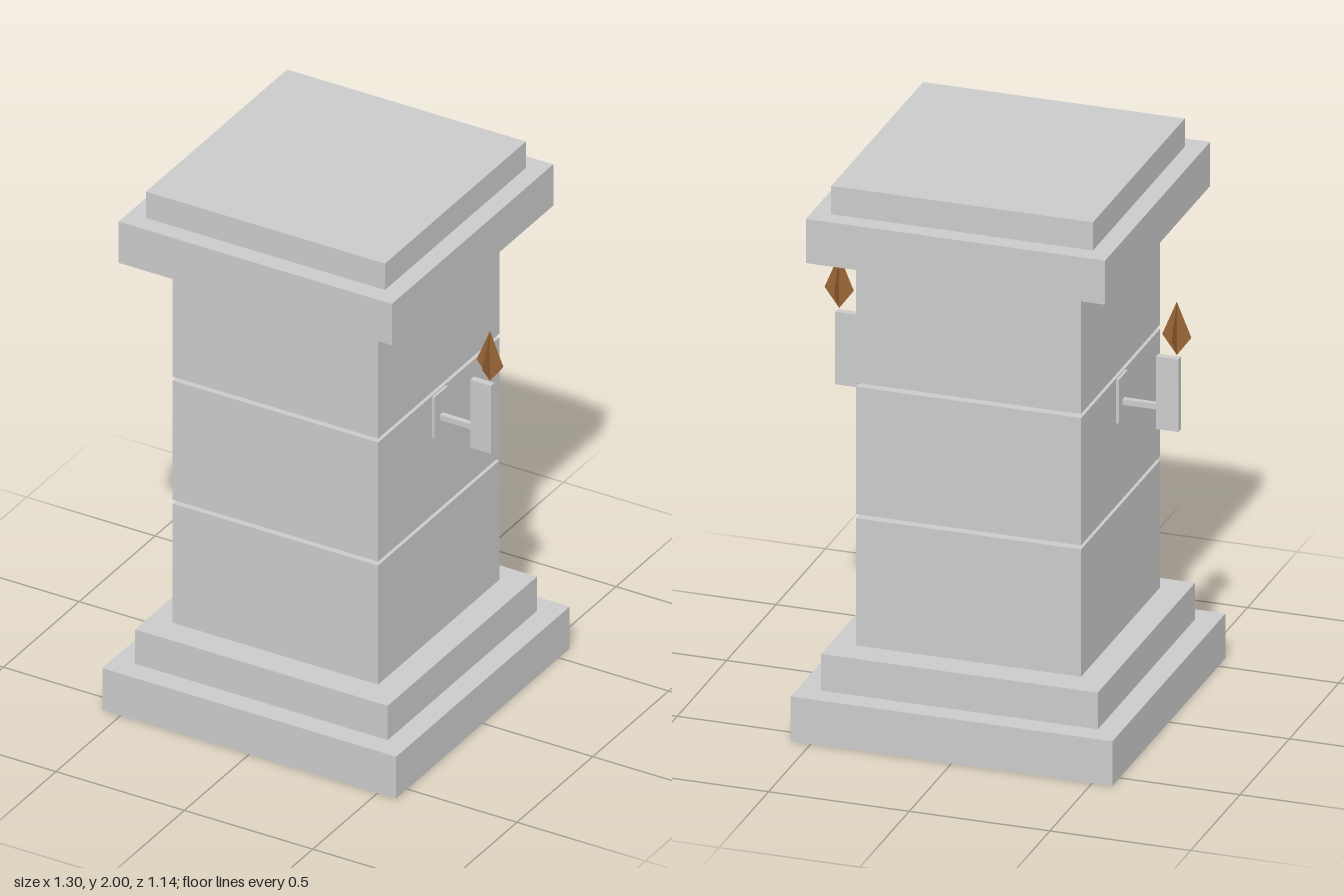
import * as THREE from 'three';

const stone = new THREE.MeshStandardMaterial({ color: 0xcccccc, flatShading: true });
const fire = new THREE.MeshStandardMaterial({ color: 0x9a6636, flatShading: true, side: THREE.DoubleSide });

// Box given by its size in x and z, its y range and its centre in x
function block(parent, name, w, d, y0, y1, x = 0) {
  const mesh = new THREE.Mesh(new THREE.BoxGeometry(w, y1 - y0, d), stone);
  mesh.position.set(x, (y0 + y1) / 2, 0);
  mesh.name = name;
  parent.add(mesh);
}

// Wall torch on the +x side: plate, arm, holder and two crossed flame sheets
function createTorch(name) {
  const torch = new THREE.Group();
  torch.name = name;
  block(torch, 'wallPlate', 0.02, 0.09, 1.085, 1.245, 0.4);
  block(torch, 'arm', 0.14, 0.02, 1.14, 1.16, 0.47);
  block(torch, 'holder', 0.08, 0.024, 1.07, 1.335, 0.57);

  const diamond = new THREE.Shape([
    new THREE.Vector2(0, 1.345),
    new THREE.Vector2(0.052, 1.415),
    new THREE.Vector2(0, 1.54),
    new THREE.Vector2(-0.052, 1.415),
  ]);
  for (let i = 0; i < 2; i++) {
    const sheet = new THREE.Mesh(new THREE.ShapeGeometry(diamond), fire);
    sheet.position.x = 0.6;
    sheet.rotation.y = i * Math.PI / 2;
    sheet.name = 'flame';
    torch.add(sheet);
  }
  return torch;
}

export function createModel() {
  const pillar = new THREE.Group();
  pillar.name = 'torchPillar';

  // Stepped base
  block(pillar, 'basePlinth', 1.144, 1.144, 0, 0.163);
  block(pillar, 'baseStep', 0.984, 0.984, 0.163, 0.297);

  // Shaft of three blocks with open joints
  for (let i = 0; i < 3; i++) {
    const y = 0.304 + i * 0.48;
    block(pillar, 'shaftBlock', 0.8, 0.8, y, y + 0.465);
  }

  // Stepped capital
  block(pillar, 'capSlab', 1.064, 1.064, 1.736, 1.897);
  block(pillar, 'capTop', 0.93, 0.93, 1.897, 2);

  // Torches on both sides
  const left = createTorch('leftTorch');
  const right = createTorch('rightTorch');
  right.rotation.y = Math.PI;
  pillar.add(left, right);

  return pillar;
}
